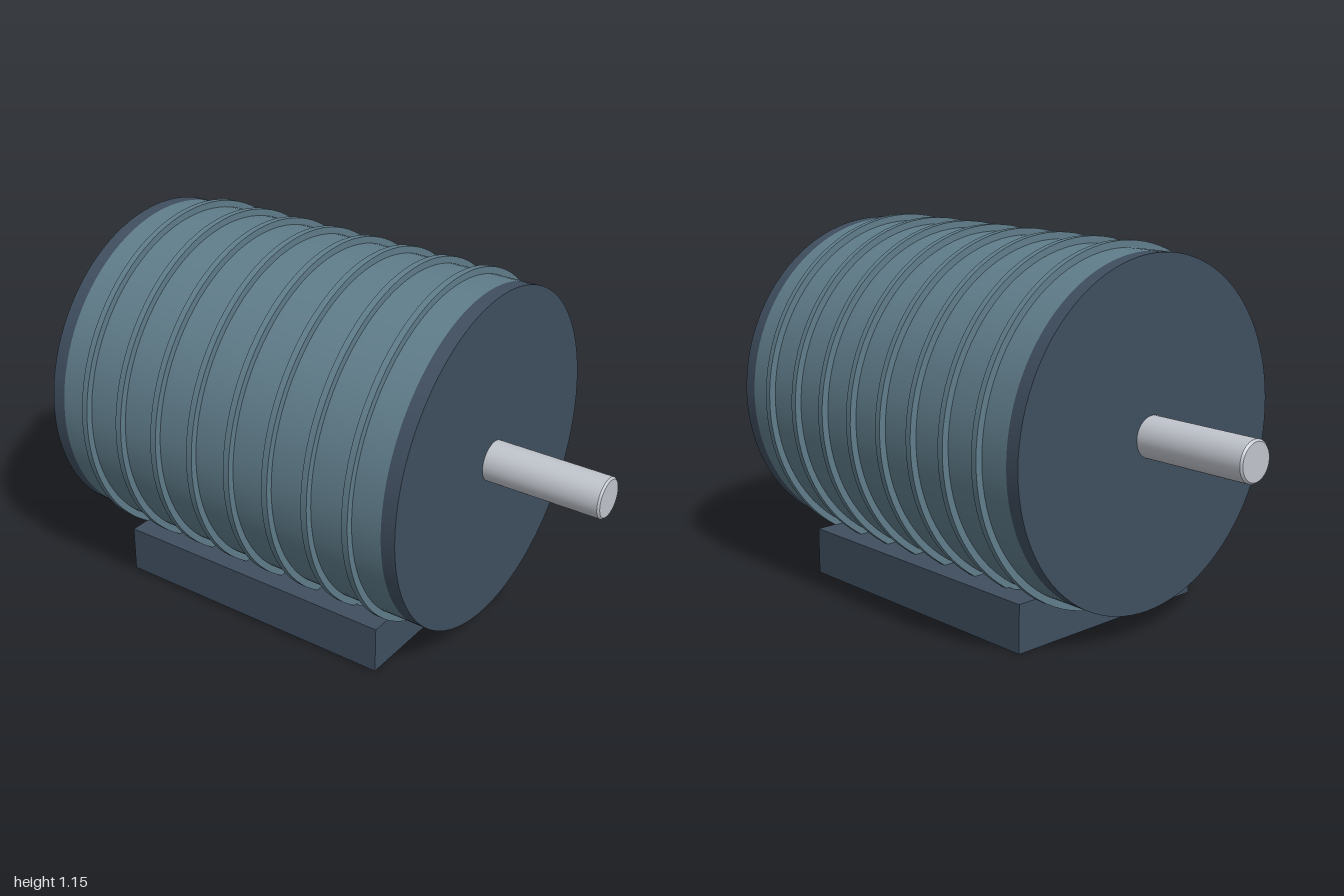
import * as THREE from 'three';

export function createModel() {
  const model = new THREE.Group();
  const housingBlue = new THREE.MeshStandardMaterial({ color: 0x607d8b });
  housingBlue.name = 'housingBlue';
  const darkSlate = new THREE.MeshStandardMaterial({ color: 0x3f4e5f });
  darkSlate.name = 'darkSlate';
  const shaftSteel = new THREE.MeshStandardMaterial({ color: 0xc0c4cc });
  shaftSteel.name = 'shaftSteel';

  const axisY = 0.603, bodyR = 0.525;

  const add = (name, geometry, material) => {
    const mesh = new THREE.Mesh(geometry, material);
    mesh.name = name;
    model.add(mesh);
    return mesh;
  };

  // Cylinder lying along x on the motor axis
  const disc = (name, radius, length, x, material) => {
    const mesh = add(name, new THREE.CylinderGeometry(radius, radius, length, 96), material);
    mesh.rotation.z = -Math.PI / 2;
    mesh.position.set(x, axisY, 0);
  };

  // Housing, end caps and cooling fins
  disc('housing', bodyR, 1.17, 0, housingBlue);
  for (const side of [-1, 1]) {
    disc(side > 0 ? 'leftEndCap' : 'rightEndCap', bodyR, 0.045, side * 0.6075, darkSlate);
  }
  for (let i = 0; i < 8; i++) {
    disc('coolingFin', 0.546, 0.02, -0.48 + (i * 0.96) / 7, housingBlue);
  }

  // Output shafts with a small chamfer at the tip
  const r = 0.063, c = 0.006;
  const profile = [[r, 0], [r, 0.375 - c], [r - c, 0.375], [0, 0.375]]
    .map(([x, y]) => new THREE.Vector2(x, y));
  for (const side of [-1, 1]) {
    const shaft = add(side > 0 ? 'leftShaft' : 'rightShaft',
      // Each straight run is its own lathe, so the edges stay sharp
      new THREE.LatheGeometry(profile.slice(0, 2), 48), shaftSteel);
    for (let i = 1; i < 3; i++) {
      const tip = new THREE.Mesh(new THREE.LatheGeometry(profile.slice(i, i + 2), 48), shaftSteel);
      tip.name = i === 1 ? 'shaftChamfer' : 'shaftEnd';
      shaft.add(tip);
    }
    shaft.rotation.z = -side * Math.PI / 2;
    shaft.position.set(side * 0.625, axisY, 0);
  }

  // Mounting base with four bolt holes
  const hx = 0.475, hz = 0.37;
  const plate = new THREE.Shape([[-hx, -hz], [hx, -hz], [hx, hz], [-hx, hz]]
    .map(([x, y]) => new THREE.Vector2(x, y)));
  for (const sx of [-1, 1]) {
    for (const sz of [-1, 1]) {
      plate.holes.push(new THREE.Path().absarc(sx * 0.36, sz * 0.267, 0.027, 0, Math.PI * 2, true));
    }
  }
  const base = new THREE.ExtrudeGeometry(plate, { depth: 0.15, bevelEnabled: false, curveSegments: 24 });
  base.rotateX(-Math.PI / 2);
  add('mountingBase', base, darkSlate);

  return model;
}
